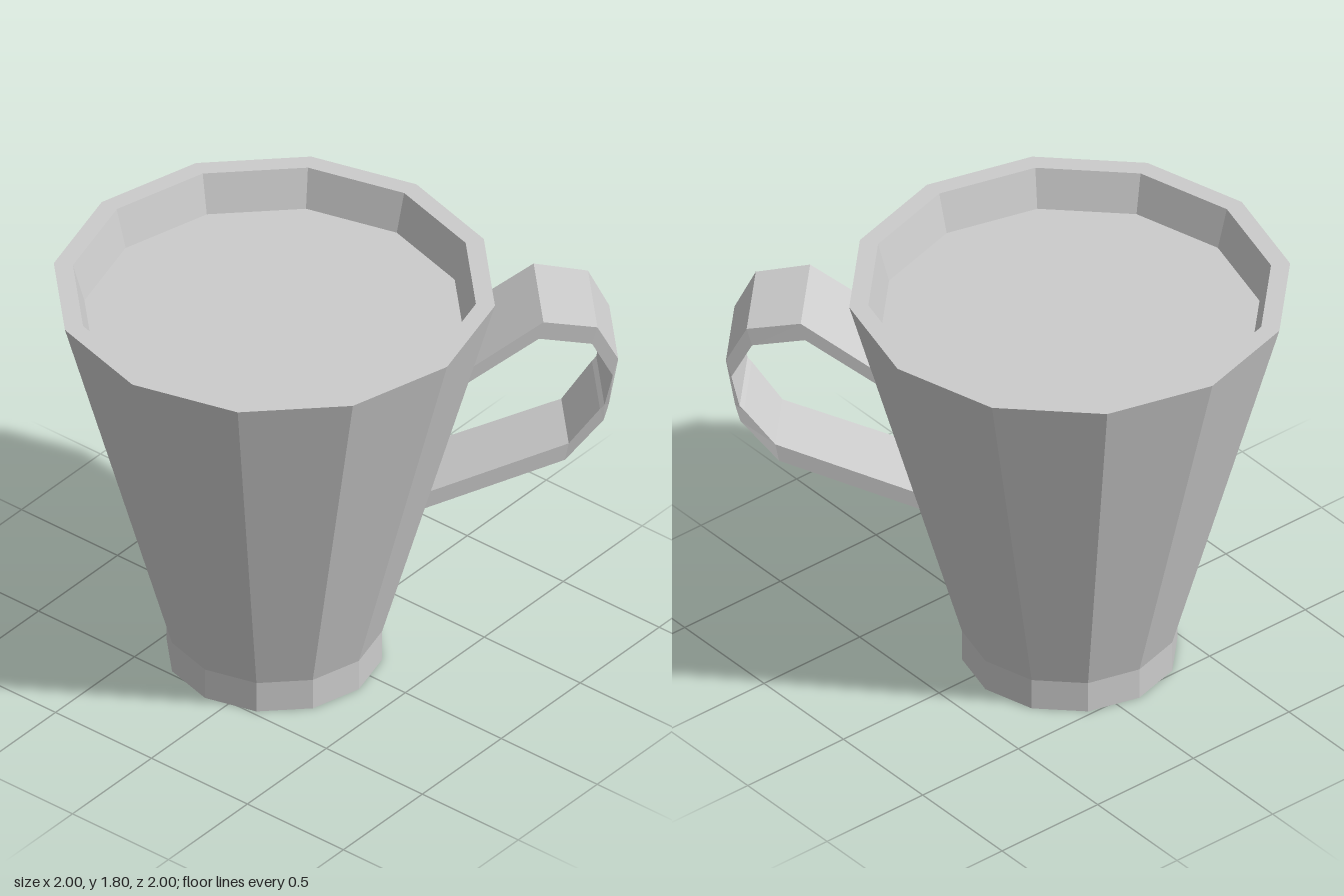
import * as THREE from 'three';

const grey = new THREE.MeshStandardMaterial({ color: 0xcccccc, flatShading: true });

// Twelve-sided tapered body: foot, flared wall, rim, inner wall and the flat filling
function makeBody() {
  const profile = [
    [0, 0], [0.44, 0], [0.44, 0.14], [0.9, 1.8], [0.822, 1.8], [0.775, 1.63], [0, 1.63],
  ].map(([r, y]) => new THREE.Vector2(r, y));
  const body = new THREE.Mesh(new THREE.LatheGeometry(profile, 12), grey);
  body.name = 'cupBody';
  return body;
}

// Handle: rectangular sections swept from the upper joint to the lower one
function makeHandle() {
  // outer radius, outer y, inner radius, inner y, half width
  const sections = [
    [0.765, 1.475, 0.74, 1.395, 0.21],
    [1.068, 1.685, 1.05, 1.605, 0.205],
    [1.287, 1.64, 1.265, 1.56, 0.198],
    [1.372, 1.47, 1.35, 1.39, 0.187],
    [1.336, 1.24, 1.318, 1.235, 0.17],
    [1.315, 1.16, 1.3, 1.215, 0.168],
    [1.16, 0.965, 1.175, 1.045, 0.156],
    [0.58, 0.765, 0.595, 0.845, 0.163],
  ];
  const positions = [];
  const index = [];
  sections.forEach(([ro, yo, ri, yi, w], i) => {
    positions.push(ro, yo, w, ro, yo, -w, ri, yi, -w, ri, yi, w);
    if (i === 0) return;
    for (let j = 0; j < 4; j++) {
      const k = (j + 1) % 4;
      const a = (i - 1) * 4;
      const b = i * 4;
      index.push(a + j, b + j, b + k, a + j, b + k, a + k);
    }
  });
  const geometry = new THREE.BufferGeometry();
  geometry.setAttribute('position', new THREE.Float32BufferAttribute(positions, 3));
  geometry.setIndex(index);
  geometry.computeVertexNormals();
  const handle = new THREE.Mesh(geometry, grey);
  handle.name = 'handle';
  handle.rotation.y = -Math.PI / 4; // centred on one of the body's flat sides
  return handle;
}

export function createModel() {
  const cup = new THREE.Group();
  cup.name = 'cup';
  cup.add(makeBody(), makeHandle());
  cup.position.set(-0.1, 0, -0.1);
  const model = new THREE.Group();
  model.add(cup);
  return model;
}
